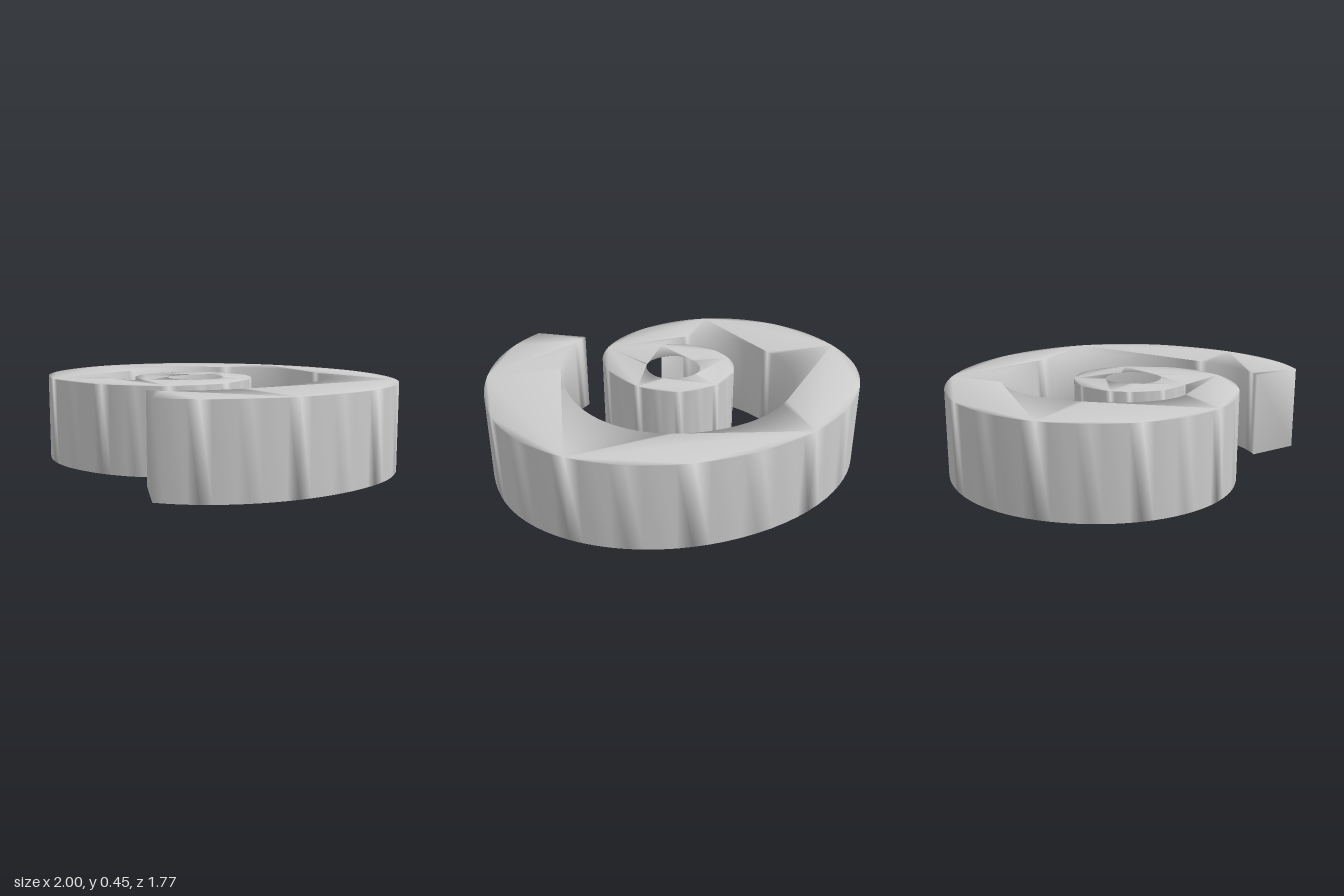
import * as THREE from 'three';
import { mergeVertices } from 'three/addons/utils/BufferGeometryUtils.js';

const HEIGHT = 0.45;

// Quarter-oval from the current point; it leaves vertically or horizontally
function quarter(path, x, z, leavesVertically, k = 0.56) {
  const { x: x0, y: z0 } = path.currentPoint;
  const dx = (x - x0) * k, dz = (z - z0) * k;
  if (leavesVertically) path.bezierCurveTo(x0, z0 + dz, x - dx, z, x, z);
  else path.bezierCurveTo(x0 + dx, z0, x, z - dz, x, z);
}

// Plan of the spiral, drawn in x and z
function spiralPlan() {
  const plan = new THREE.Shape();
  // outer edge, from the blunt tail round to the small coil
  plan.moveTo(0.47, 0.88);
  plan.bezierCurveTo(0.78, 0.74, 1, 0.36, 1, -0.05);
  quarter(plan, 0, -0.89, true);
  quarter(plan, -1, -0.05, false);
  quarter(plan, -0.32, 0.69, true);
  quarter(plan, 0.295, 0.21, false);
  // outside of the small coil, ending in the notch
  quarter(plan, -0.04, -0.225, true);
  quarter(plan, -0.37, 0.07, false);
  plan.bezierCurveTo(-0.37, 0.24, -0.27, 0.36, -0.11, 0.385);
  plan.bezierCurveTo(-0.16, 0.43, -0.22, 0.445, -0.28, 0.445);
  // inner edge back to the tail
  quarter(plan, -0.615, -0.05, false);
  quarter(plan, -0.01, -0.64, true);
  quarter(plan, 0.585, -0.05, false, 0.6);
  plan.bezierCurveTo(0.585, 0.28, 0.45, 0.58, 0.24, 0.7);
  plan.closePath();

  // eye of the small coil
  const eye = new THREE.Path();
  eye.moveTo(-0.04, -0.06);
  quarter(eye, -0.18, 0.08, false, 0.62);
  quarter(eye, -0.04, 0.23, true, 0.62);
  quarter(eye, 0.105, 0.08, false, 0.62);
  quarter(eye, -0.04, -0.06, true, 0.62);
  plan.holes.push(eye);
  return plan;
}

export function createModel() {
  let geometry = new THREE.ExtrudeGeometry(spiralPlan(), {
    depth: HEIGHT, bevelEnabled: false, curveSegments: 20,
  });
  geometry.rotateX(Math.PI / 2).translate(0, HEIGHT, 0);

  // share corners between walls and caps for the soft shading
  geometry.deleteAttribute('uv');
  geometry.deleteAttribute('normal');
  geometry = mergeVertices(geometry, 1e-5);
  geometry.computeVertexNormals();

  const spiral = new THREE.Mesh(geometry, new THREE.MeshStandardMaterial({ color: 0xcccccc }));
  spiral.name = 'spiral';
  const model = new THREE.Group();
  model.name = 'spiralOrnament';
  model.add(spiral);
  return model;
}
